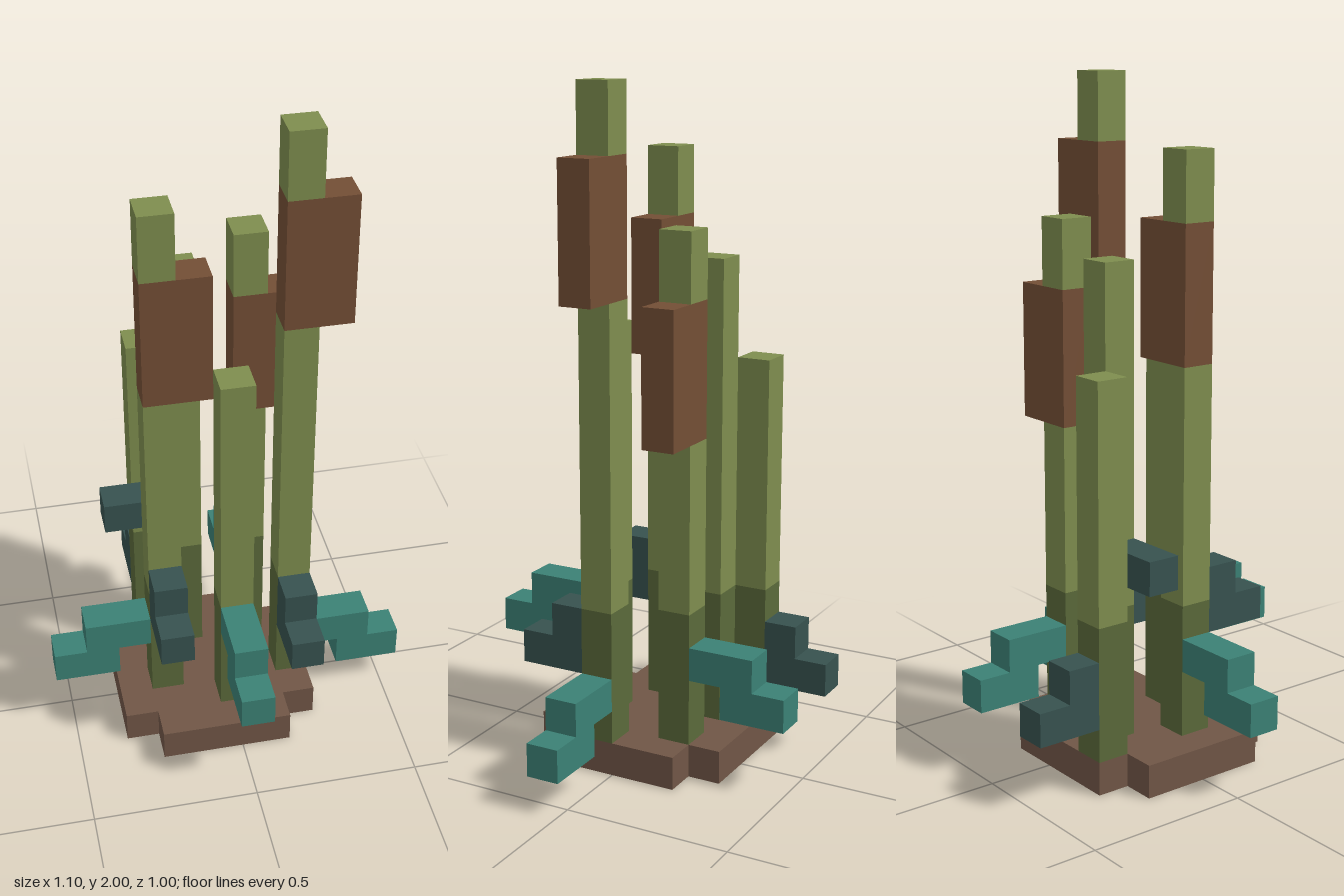
import * as THREE from 'three';

const mat = (name, color) => {
  const m = new THREE.MeshStandardMaterial({ color });
  m.name = name;
  return m;
};

export function createModel() {
  const olive = mat('stalk green', 0x7e8d4e);
  const darkOlive = mat('dark stalk green', 0x5a693a);
  const brown = mat('seed head brown', 0x734e35);
  const soil = mat('soil brown', 0x705646);
  const teal = mat('teal leaf', 0x3b8175);
  const darkTeal = mat('dark teal leaf', 0x37524f);

  const root = new THREE.Group();
  root.name = 'reeds';

  const group = (name) => {
    const g = new THREE.Group();
    g.name = name;
    root.add(g);
    return g;
  };

  // Box between two corners
  const box = (parent, name, material, [x0, y0, z0], [x1, y1, z1]) => {
    const mesh = new THREE.Mesh(new THREE.BoxGeometry(x1 - x0, y1 - y0, z1 - z0), material);
    mesh.position.set((x0 + x1) / 2, (y0 + y1) / 2, (z0 + z1) / 2);
    mesh.name = name;
    parent.add(mesh);
  };

  // Soil slab with its four corners notched out
  const s = new THREE.Shape();
  const quarter = [[0.3, 0.2], [0.2, 0.2], [0.2, 0.3]];
  const pts = [
    ...quarter,
    ...[...quarter].reverse().map(([x, z]) => [-x, z]),
    ...quarter.map(([x, z]) => [-x, -z]),
    ...[...quarter].reverse().map(([x, z]) => [x, -z]),
  ];
  s.setFromPoints(pts.map(([x, z]) => new THREE.Vector2(x - 0.05, z)));
  const slab = new THREE.ExtrudeGeometry(s, { depth: 0.1, bevelEnabled: false });
  slab.rotateX(-Math.PI / 2);
  const base = new THREE.Mesh(slab, soil);
  base.name = 'soilBase';
  root.add(base);

  // Stalks: left edge x, back edge z, top height, optional seed head bottom
  const stalks = [
    [-0.25, -0.3, 1.2],
    [-0.15, -0.2, 1.5],
    [0.05, -0.2, 1.6, 1.0],
    [-0.25, 0, 1.8, 1.2],
    [0.15, 0, 2.0, 1.4],
    [-0.05, 0.1, 1.3],
  ];
  for (const [x, z, top, head] of stalks) {
    const g = group('stalk');
    const part = (name, m, y0, y1, w = 0.1) => box(g, name, m, [x, y0, z], [x + w, y1, z + 0.1]);
    part('stalkFoot', darkOlive, 0.1, 0.5);
    part('stalkStem', olive, 0.5, head ?? top);
    if (head) {
      part('seedHead', brown, head, head + 0.4, 0.2);
      part('stalkTip', olive, head + 0.4, top);
    }
  }

  // Long drooping leaves: an upper step and a lower step further out
  const longLeaves = [
    [[-0.45, 0.3, 0], [-0.25, 0.4, 0.1], [-0.55, 0.2, 0], [-0.35, 0.3, 0.1]],
    [[0.25, 0.2, 0], [0.45, 0.3, 0.1], [0.35, 0.1, 0], [0.55, 0.2, 0.1]],
    [[-0.05, 0.4, 0.2], [0.05, 0.5, 0.4], [-0.05, 0.3, 0.3], [0.05, 0.4, 0.5]],
    [[0.05, 0.3, -0.4], [0.15, 0.4, -0.2], [0.05, 0.2, -0.5], [0.15, 0.3, -0.3]],
  ];
  for (const [a, b, c, d] of longLeaves) {
    const g = group('longLeaf');
    box(g, 'leafInner', teal, a, b);
    box(g, 'leafOuter', teal, c, d);
  }

  // Short leaves: a tall block at the stalk and a low block in front
  const shortLeaves = [
    [[0.15, 0.3, 0.1], [0.25, 0.5, 0.2], [0.15, 0.3, 0.2], [0.25, 0.4, 0.3]],
    [[-0.25, 0.4, 0.1], [-0.15, 0.6, 0.2], [-0.25, 0.4, 0.2], [-0.15, 0.5, 0.3]],
    [[-0.25, 0.2, -0.4], [-0.15, 0.4, -0.3], [-0.25, 0.2, -0.5], [-0.15, 0.3, -0.4]],
  ];
  for (const [a, b, c, d] of shortLeaves) {
    const g = group('shortLeaf');
    box(g, 'leafInner', darkTeal, a, b);
    box(g, 'leafOuter', darkTeal, c, d);
  }

  // Flat leaf high on the back stalk
  box(root, 'flatLeaf', darkTeal, [-0.35, 0.6, -0.2], [-0.15, 0.7, -0.1]);

  return root;
}
